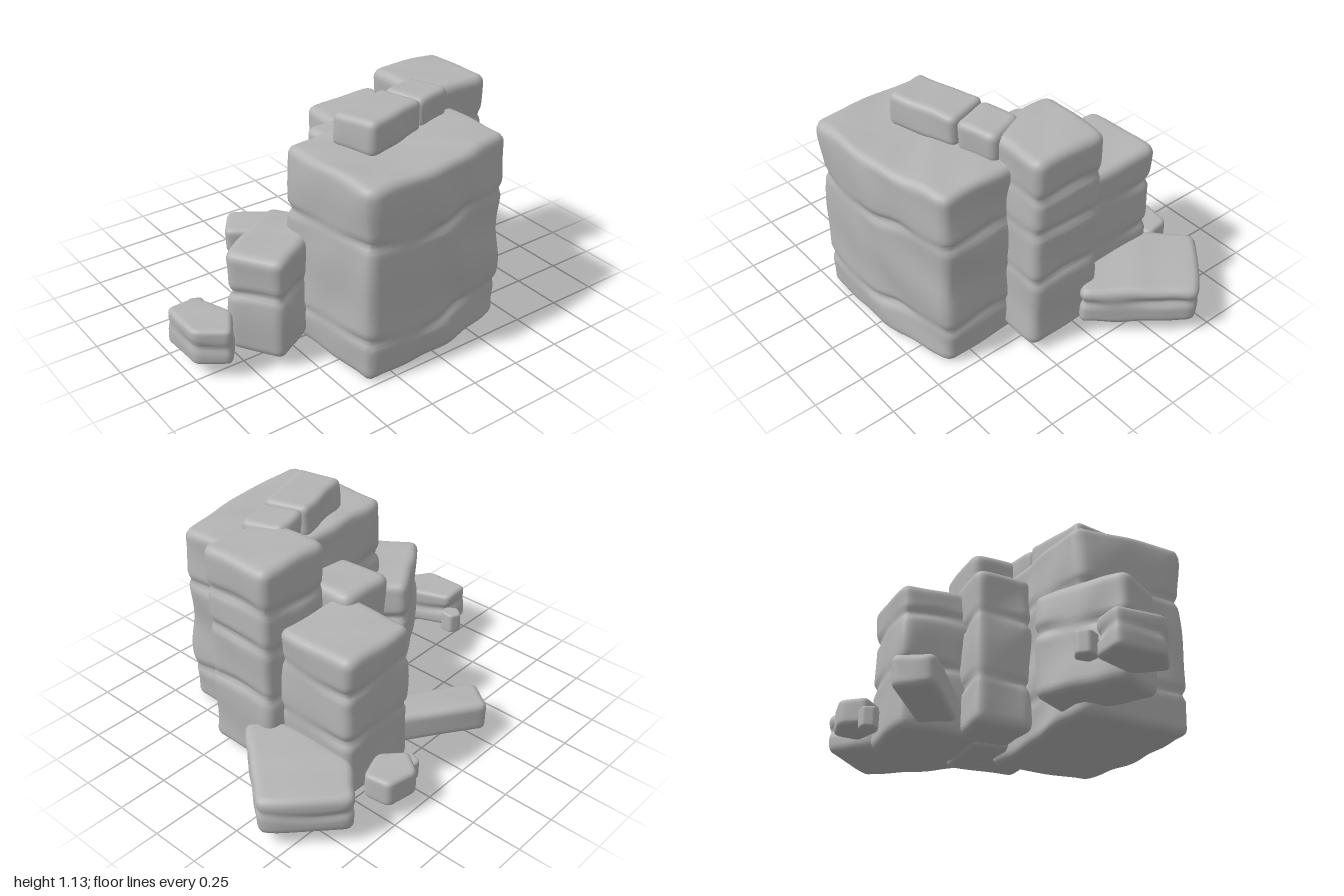
import * as THREE from 'three';

const stone = new THREE.MeshStandardMaterial({ color: 0xb4b4b4 });
stone.name = 'grey stone';

const SIDES = 72;

// Footprint of a turned rectangle, as [x, z] corners
function box(cx, cz, width, depth, degrees = 0) {
  const a = THREE.MathUtils.degToRad(degrees);
  return [[-1, -1], [1, -1], [1, 1], [-1, 1]].map(([sx, sz]) => {
    const x = sx * width / 2, z = sz * depth / 2;
    return [cx + x * Math.cos(a) - z * Math.sin(a), cz + x * Math.sin(a) + z * Math.cos(a)];
  });
}

// Footprint of a five-sided chunk
function chunk(cx, cz, rx, rz, degrees) {
  return Array.from({ length: 5 }, (_, i) => {
    const a = THREE.MathUtils.degToRad(degrees + i * 72);
    return [cx + rx * Math.cos(a), cz + rz * Math.sin(a)];
  });
}

// Smooth position-based unevenness, roughly -1 to 1
function wobble(x, y, z, s) {
  return 0.5 * Math.sin(9 * x + 6 * y + s) * Math.cos(8 * z - 7 * y + 2 * s)
    + 0.3 * Math.sin(17 * y + 5 * x - 4 * z + 3 * s)
    + 0.2 * Math.sin(21 * x - 19 * z + 11 * y + s);
}

// Evenly spaced footprint points with rounded corners
function outline(corners, radius) {
  const pts = corners.map(([x, z]) => new THREE.Vector2(x, z));
  const toward = (a, b) => a.clone().lerp(b, Math.min(0.4, radius / a.distanceTo(b)));
  const path = new THREE.Path();
  pts.forEach((p, i) => {
    const before = toward(p, pts.at(i - 1));
    const after = toward(p, pts[(i + 1) % pts.length]);
    if (i === 0) path.moveTo(before.x, before.y);
    else path.lineTo(before.x, before.y);
    path.quadraticCurveTo(p.x, p.y, after.x, after.y);
  });
  path.closePath();
  return path.getSpacedPoints(SIDES).slice(0, SIDES);
}

// Rings from bottom to top as { y, inset, scale }: flat cap, worn edge, sides, worn edge, flat cap
function ringLevels(y0, y1, bevel) {
  const edge = [];
  for (const scale of [0.1, 0.35, 0.65, 0.88]) edge.push({ drop: 0, inset: bevel, scale });
  for (let i = 0; i <= 4; i++) {
    const a = i / 4 * Math.PI / 2;
    edge.push({ drop: bevel * (1 - Math.cos(a)), inset: bevel * (1 - Math.sin(a)), scale: 1 });
  }
  const levels = edge.map(e => ({ ...e, y: y0 + e.drop }));
  const steps = Math.max(3, Math.ceil((y1 - y0) / 0.02));
  for (let i = 1; i < steps; i++) {
    levels.push({ y: THREE.MathUtils.lerp(y0 + bevel, y1 - bevel, i / steps), inset: 0, scale: 1 });
  }
  return levels.concat(edge.reverse().map(e => ({ ...e, y: y1 - e.drop })));
}

// A weathered stone between heights y0 and y1, with optional horizontal cracks
function rock(name, corners, y0, y1, seed, { bevel = 0.04, rough = 0.011, cracks = [] } = {}) {
  const ring = outline(corners, bevel * 1.5);
  const centre = ring.reduce((c, p) => c.add(p), new THREE.Vector2()).divideScalar(SIDES);
  const outward = ring.map((p, i) => {
    const t = ring[(i + 1) % SIDES].clone().sub(ring.at(i - 1)).normalize();
    return new THREE.Vector2(t.y, -t.x);
  });
  const pos = [], index = [];
  const addPoint = (x, y, z) => pos.push(x, y + rough * 0.8 * wobble(x, y, z, seed + 2), z);

  const levels = ringLevels(y0, y1, bevel);
  for (const { y, inset, scale } of levels) {
    ring.forEach((p, i) => {
      let push = rough * (wobble(p.x, y, p.y, seed) - 0.35) - inset;
      for (const c of cracks) {
        const d = (y - c - 0.015 * Math.sin(8 * p.x + 6 * p.y + seed)) / 0.022;
        push -= 0.022 * Math.exp(-d * d) * (0.6 + 0.4 * Math.sin(11 * p.x - 9 * p.y + seed));
      }
      const q = p.clone().addScaledVector(outward[i], push).sub(centre).multiplyScalar(scale).add(centre);
      addPoint(q.x, y, q.y);
    });
  }
  for (let r = 0; r < levels.length - 1; r++) {
    for (let i = 0; i < SIDES; i++) {
      const a = r * SIDES + i, b = r * SIDES + (i + 1) % SIDES;
      index.push(a, a + SIDES, b, b, a + SIDES, b + SIDES);
    }
  }
  // Close the bottom and the top
  const low = levels.length * SIDES, high = low + 1, last = low - SIDES;
  addPoint(centre.x, y0, centre.y);
  addPoint(centre.x, y1, centre.y);
  for (let i = 0; i < SIDES; i++) {
    const j = (i + 1) % SIDES;
    index.push(low, i, j, high, last + j, last + i);
  }

  const geo = new THREE.BufferGeometry();
  geo.setAttribute('position', new THREE.Float32BufferAttribute(pos, 3));
  geo.setIndex(index);
  geo.computeVertexNormals();
  const mesh = new THREE.Mesh(geo, stone);
  mesh.name = name;
  return mesh;
}

export function createModel() {
  const group = new THREE.Group();
  group.name = 'stoneRuin';
  const add = (...spec) => group.add(rock(...spec));

  // Standing blocks
  const mainBase = [[-0.45, 0.14], [0.42, 0.07], [0.46, 0.65], [0.02, 0.74], [-0.41, 0.75]];
  add('mainBlock', mainBase, 0.01, 0.98, 1, { rough: 0.016, cracks: [0.2, 0.69] });
  add('tallBlock', box(0.435, 0.095, 0.4, 0.4), 0.04, 1.1, 2, { cracks: [0.42, 0.69, 0.89] });
  add('backBlock', box(0.335, -0.3, 0.44, 0.44), 0.04, 0.79, 3, { cracks: [0.36, 0.62] });
  add('middleColumn', box(0.07, -0.06, 0.3, 0.305), 0.04, 0.835, 4, { cracks: [0.28, 0.6] });
  add('leftBlock', box(-0.515, 0.18, 0.5, 0.295, -33), 0.06, 0.57, 5, { cracks: [0.36] });

  // Slab on top, broken in two
  add('topSlabLong', box(-0.045, 0.315, 0.375, 0.245, -16), 0.96, 1.125, 6, { bevel: 0.03 });
  add('topSlabShort', box(0.235, 0.24, 0.22, 0.22, -17), 0.96, 1.115, 7, { bevel: 0.03 });

  // Fallen slabs
  const rightBase = [[0.7, -0.7], [0.96, -0.46], [1.01, -0.39], [0.66, 0.05], [0.53, -0.08], [0.52, -0.52]];
  add('rightFallenSlab', rightBase, 0.065, 0.27, 8, { bevel: 0.035, cracks: [0.18] });
  add('backFallenSlab', box(-0.13, -0.475, 0.48, 0.21, 34), 0.06, 0.21, 9, { bevel: 0.03 });

  // Boulders and pebbles
  const leftBase = [[-1.005, 0.005], [-0.84, -0.005], [-0.76, 0.2], [-0.86, 0.35], [-1.005, 0.25]];
  const small = { bevel: 0.022, rough: 0.006 }, tiny = { bevel: 0.012, rough: 0.003 };
  add('leftBoulder', leftBase, 0.08, 0.265, 10, { ...small, cracks: [0.18] });
  add('backBoulder', chunk(0.395, -0.635, 0.145, 0.118, 30), 0.08, 0.215, 11, small);
  add('leftPebble', chunk(-0.825, -0.035, 0.055, 0.06, 40), 0.09, 0.2, 12, tiny);
  add('backPebble', chunk(0.25, -0.615, 0.06, 0.055, 20), 0.05, 0.15, 13, tiny);
  return group;
}
